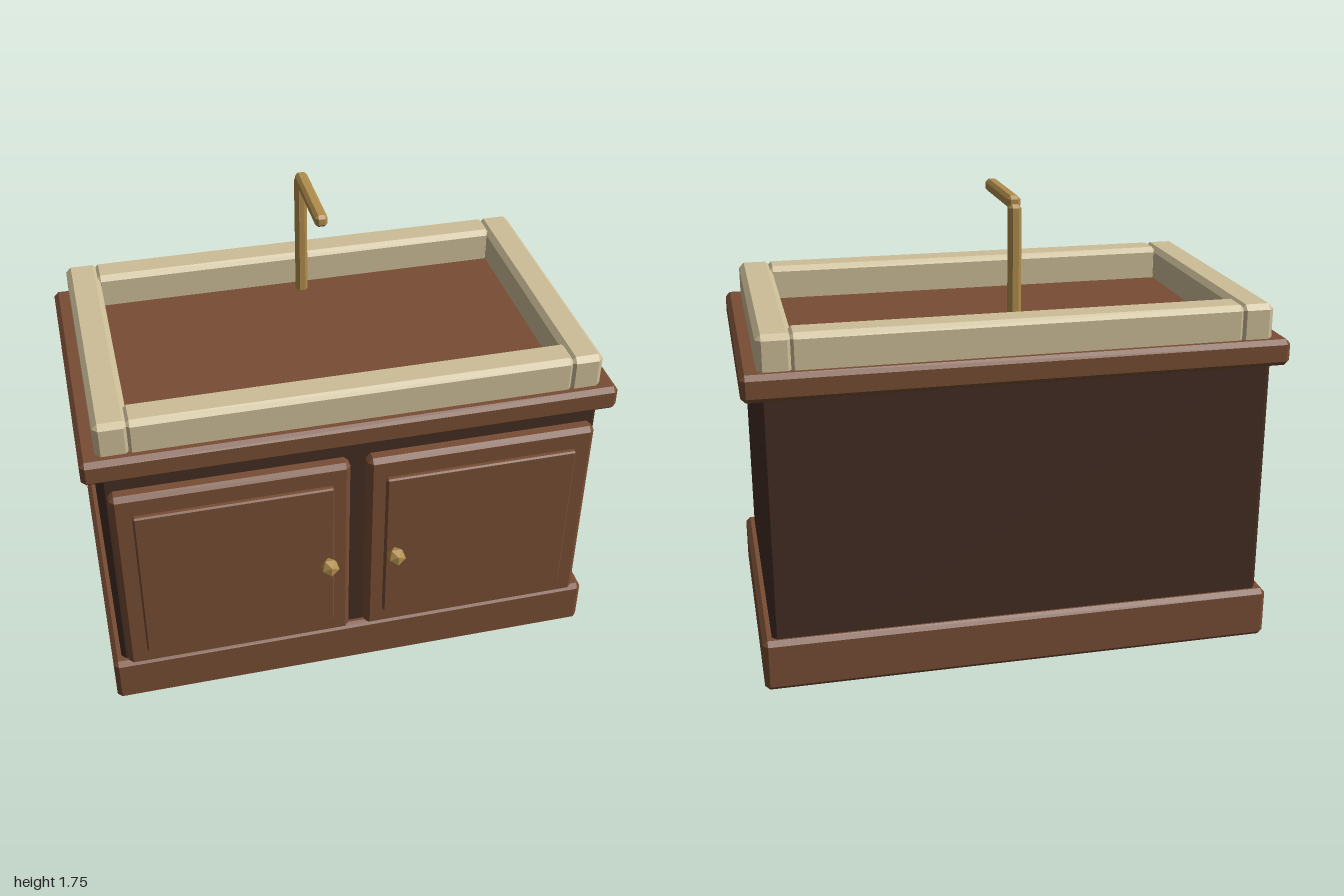
import * as THREE from 'three';
import { ConvexGeometry } from 'three/addons/geometries/ConvexGeometry.js';

const material = (name, color) => {
  const m = new THREE.MeshStandardMaterial({ color, flatShading: true });
  m.name = name;
  return m;
};

// Box with chamfered edges and corners, given by its limits on each axis
function chamferBox([x0, x1], [y0, y1], [z0, z1], c) {
  const half = [(x1 - x0) / 2, (y1 - y0) / 2, (z1 - z0) / 2];
  const points = [];
  for (const sx of [-1, 1]) for (const sy of [-1, 1]) for (const sz of [-1, 1]) {
    for (let axis = 0; axis < 3; axis++) {
      const p = half.map((h, i) => (i === axis ? h : h - c));
      points.push(new THREE.Vector3(sx * p[0], sy * p[1], sz * p[2]));
    }
  }
  return new ConvexGeometry(points).translate((x0 + x1) / 2, (y0 + y1) / 2, (z0 + z1) / 2);
}

export function createModel() {
  const model = new THREE.Group();
  model.name = 'washstand';
  const wood = material('wood', 0x784d34);
  const darkWood = material('dark wood', 0x432d23);
  const stone = material('cream stone', 0xcdbe98);
  const brass = material('brass', 0xb08d4c);

  const add = (name, mat, geometry, parent = model) => {
    const mesh = new THREE.Mesh(geometry, mat);
    mesh.name = name;
    parent.add(mesh);
    return mesh;
  };
  const box = (name, mat, x, y, z, c, parent) => add(name, mat, chamferBox(x, y, z, c), parent);

  // Cabinet
  box('plinth', wood, [-0.975, 0.975], [0, 0.2], [-0.64, 0.515], 0.018);
  box('cabinetBody', darkWood, [-0.94, 0.94], [0.02, 1.16], [-0.615, 0.485], 0.018);
  box('countertop', wood, [-1, 1], [1.12, 1.22], [-0.65, 0.522], 0.018);

  // Doors with raised panels and faceted knobs
  for (const s of [-1, 1]) {
    const door = new THREE.Group();
    door.name = s > 0 ? 'leftDoor' : 'rightDoor';
    model.add(door);
    const span = (a, b) => (s > 0 ? [a, b] : [-b, -a]);
    box('doorFrame', wood, span(0.033, 0.915), [0.215, 1.065], [0.475, 0.545], 0.018, door);
    box('doorPanel', wood, span(0.1, 0.84), [0.3, 0.98], [0.525, 0.565], 0.006, door);
    add('knob', brass, new THREE.IcosahedronGeometry(0.037, 0), door).position.set(s * 0.13, 0.642, 0.617);
  }

  // Basin rim
  box('rimLeft', stone, [0.812, 0.94], [1.2, 1.35], [-0.615, 0.485], 0.02);
  box('rimRight', stone, [-0.94, -0.812], [1.2, 1.35], [-0.615, 0.485], 0.02);
  box('rimFront', stone, [-0.83, 0.83], [1.2, 1.35], [0.357, 0.485], 0.02);
  box('rimBack', stone, [-0.83, 0.83], [1.2, 1.35], [-0.615, -0.487], 0.02);

  // Faucet
  box('faucetPole', brass, [-0.023, 0.023], [1.2, 1.725], [-0.462, -0.417], 0.012);
  box('faucetSpout', brass, [-0.024, 0.024], [1.705, 1.753], [-0.437, -0.063], 0.012);

  return model;
}
